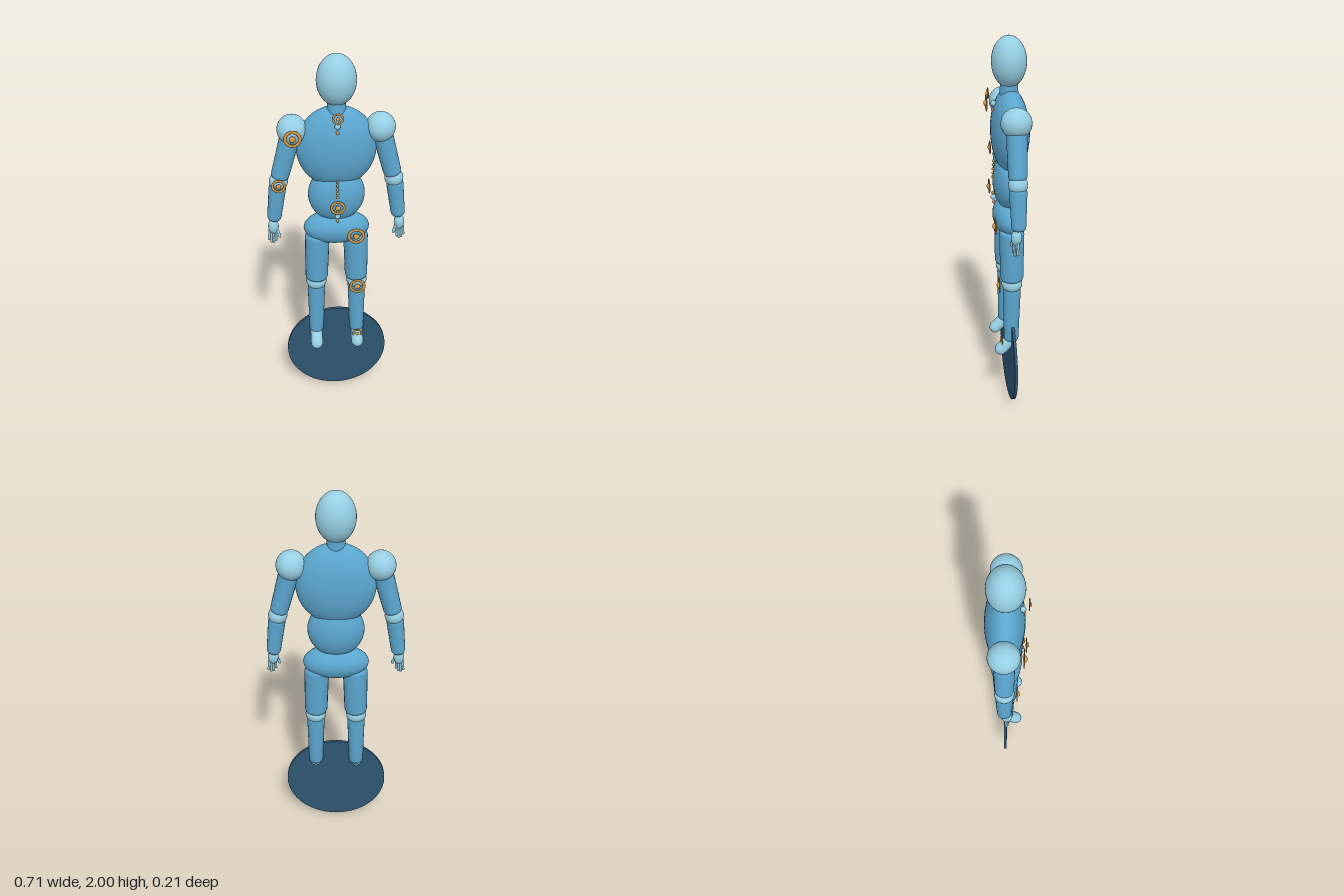
import * as THREE from 'three';

const V = (x, y, z) => new THREE.Vector3(x, y, z);
const mat = (color) => new THREE.MeshStandardMaterial({ color });
const Z = -0.01; // depth of the body's middle plane

export function createModel() {
  const body = mat(0x5ba6cf), light = mat(0x97cfe4), gold = mat(0xd39a48), dark = mat(0x2f5673);
  const root = new THREE.Group();
  root.name = 'jointedFigure';

  const add = (parent, name, geometry, material) => {
    const mesh = new THREE.Mesh(geometry, material);
    mesh.name = name;
    parent.add(mesh);
    return mesh;
  };

  const ball = (parent, name, p, rx, ry, rz, material, seg = 28) => {
    const mesh = add(parent, name, new THREE.SphereGeometry(1, seg, Math.round(seg * 0.7)), material);
    mesh.position.copy(p);
    mesh.scale.set(rx, ry, rz);
    return mesh;
  };

  // Turns a mesh built along y so that it runs from a to b
  const span = (mesh, a, b) => {
    mesh.position.copy(a).add(b).multiplyScalar(0.5);
    mesh.quaternion.setFromUnitVectors(V(0, 1, 0), b.clone().sub(a).normalize());
    return mesh;
  };

  // Limb segment with softly bevelled ends; ra at a, rb at b
  const limb = (parent, name, a, b, ra, rb) => {
    const h = a.distanceTo(b) / 2, e = 0.02;
    const pts = [[0, -h], [ra * 0.78, -h], [ra * 0.94, -h + e * 0.45], [ra, -h + e],
      [rb, h - e], [rb * 0.94, h - e * 0.45], [rb * 0.78, h], [0, h]];
    const geo = new THREE.LatheGeometry(pts.map(([x, y]) => new THREE.Vector2(x, y)), 20);
    return span(add(parent, name, geo, body), a, b);
  };

  const capsule = (parent, name, a, b, r, material, seg = 16) =>
    span(add(parent, name, new THREE.CapsuleGeometry(r, a.distanceTo(b), 6, seg), material), a, b);

  // Head, neck and trunk
  ball(root, 'head', V(0, 1.878, Z), 0.094, 0.122, 0.085, light, 32);
  const neck = add(root, 'neck', new THREE.CylinderGeometry(0.042, 0.048, 0.09, 24), body);
  neck.position.set(0, 1.74, Z);
  ball(root, 'chest', V(0, 1.54, Z - 0.004), 0.195, 0.212, 0.094, body, 36);
  ball(root, 'abdomen', V(0, 1.285, Z), 0.142, 0.15, 0.082, body, 32);
  ball(root, 'pelvis', V(0, 1.092, Z), 0.168, 0.09, 0.083, body, 32);

  // Arms and legs, mirrored
  for (const s of [-1, 1]) {
    const arm = new THREE.Group();
    arm.name = s > 0 ? 'leftArm' : 'rightArm';
    const shoulder = V(s * 0.211, 1.638, Z - 0.003), elbow = V(s * 0.285, 1.365, Z);
    ball(arm, 'shoulder', shoulder, 0.072, 0.072, 0.074, light);
    limb(arm, 'upperArm', shoulder, V(s * 0.28, 1.383, Z), 0.05, 0.045);
    ball(arm, 'elbow', elbow, 0.047, 0.046, 0.047, light, 24);
    limb(arm, 'forearm', V(s * 0.289, 1.35, Z), V(s * 0.316, 1.147, Z), 0.043, 0.036);

    // Hand with four fingers spread front to back and a thumb
    ball(arm, 'palm', V(s * 0.321, 1.112, Z + 0.012), 0.027, 0.042, 0.026, light, 20);
    for (let i = 0; i < 4; i++) {
      const x = s * (0.341 - i * 0.01), z = Z + 0.006 + i * 0.005;
      const tip = [1.035, 1.022, 1.022, 1.035][i];
      capsule(arm, 'finger', V(x, 1.09, z), V(x + s * (0.006 - i * 0.002), tip, z + 0.004), 0.0065, light, 8);
    }
    capsule(arm, 'thumb', V(s * 0.305, 1.105, Z + 0.022), V(s * 0.291, 1.062, Z + 0.032), 0.0075, light, 8);
    root.add(arm);

    const leg = new THREE.Group();
    leg.name = s > 0 ? 'leftLeg' : 'rightLeg';
    limb(leg, 'thigh', V(s * 0.099, 1.053, Z), V(s * 0.106, 0.77, Z), 0.064, 0.06);
    ball(leg, 'knee', V(s * 0.108, 0.752, Z), 0.055, 0.047, 0.054, light, 24);
    limb(leg, 'shin', V(s * 0.108, 0.736, Z), V(s * 0.112, 0.41, Z + 0.004), 0.047, 0.039);
    capsule(leg, 'foot', V(s * 0.113, 0.41, Z + 0.008), V(s * 0.113, 0.358, 0.05), 0.033, light);
    root.add(leg);
  }

  // Upright disc behind the feet
  const disc = add(root, 'standDisc', new THREE.CylinderGeometry(0.277, 0.277, 0.015, 64), dark);
  disc.rotation.x = Math.PI / 2;
  disc.position.set(0, 0.277, Z);

  // Gold joint markers: flat ring with a domed button
  const marker = (name, x, y, z, r) => {
    const g = new THREE.Group();
    g.name = name;
    g.position.set(x, y, z);
    const ring = add(g, 'ring', new THREE.TorusGeometry(r * 0.82, r * 0.18, 10, 36), gold);
    ring.scale.z = 0.0025 / (r * 0.18);
    ball(g, 'button', V(0, 0, 0.004), r * 0.36, r * 0.36, r * 0.23, gold, 16);
    root.add(g);
  };
  marker('shoulderMarker', -0.21, 1.628, 0.075, 0.043);
  marker('elbowMarker', -0.285, 1.367, 0.049, 0.036);
  marker('neckMarker', 0, 1.73, 0.092, 0.028);
  marker('abdomenMarker', 0, 1.257, 0.09, 0.038);
  marker('hipMarker', 0.095, 1.077, 0.073, 0.045);
  marker('kneeMarker', 0.107, 0.747, 0.056, 0.044);
  marker('ankleMarker', 0.113, 0.41, 0.045, 0.028);

  // Beads down the front midline: [height, depth, radius, material]
  const beads = [[1.68, 0.066, 0.014, light], [1.65, 0.07, 0.008, gold], [1.22, 0.072, 0.008, gold],
    [1.198, 0.07, 0.014, light], [1.17, 0.068, 0.008, gold]];
  for (let i = 0; i < 5; i++) beads.push([1.39 - i * 0.021, 0.068 + i * 0.001, 0.007, gold]);
  for (const [y, z, r, m] of beads) ball(root, 'bead', V(0, y, z), r, r, r, m, 12);

  return root;
}
